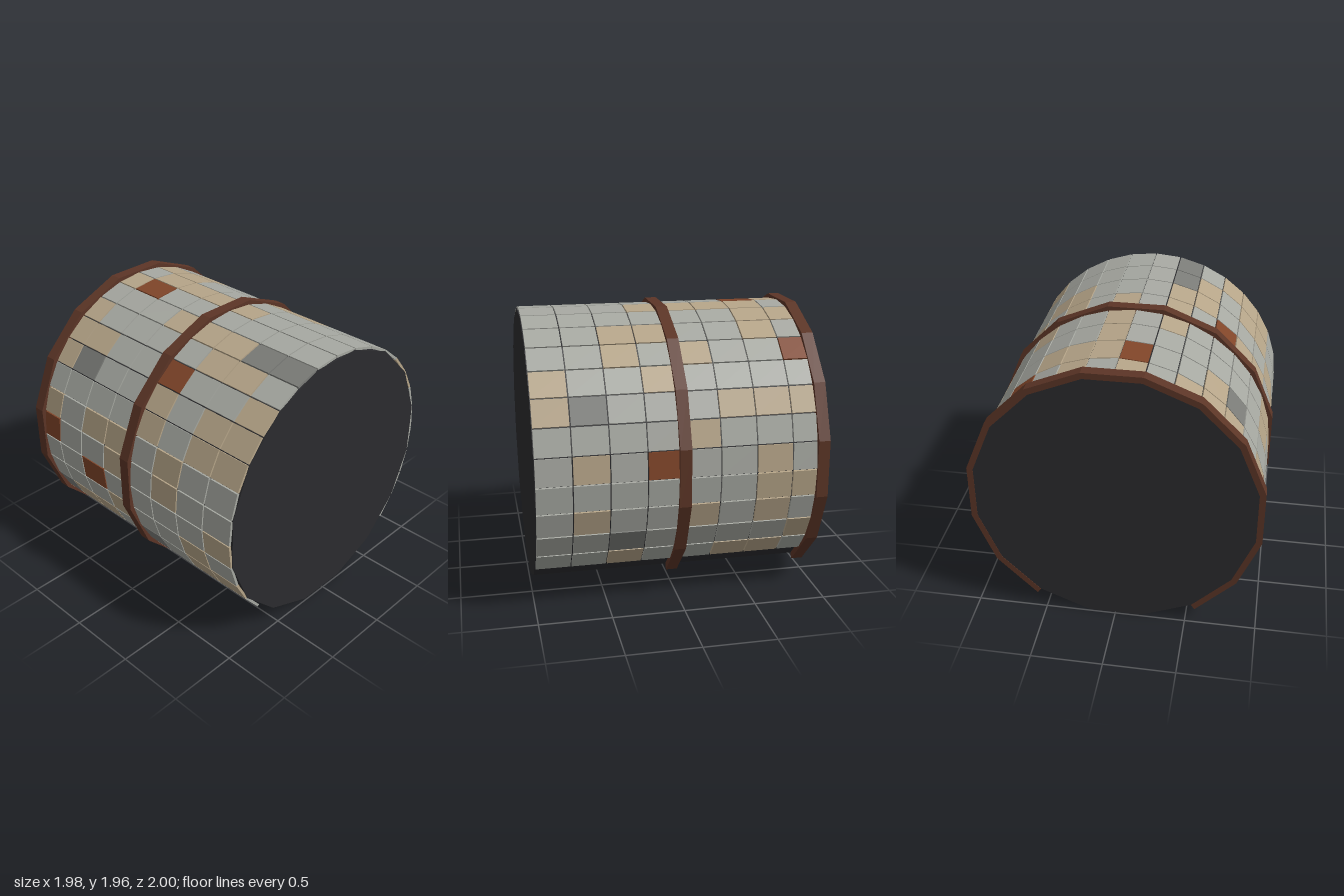
import * as THREE from 'three';

const CENTER_Y = 0.957;
const CORE_R = 0.976;
const LENGTH = 1.976;
const COLS = 8;
const STEP = Math.PI / 16; // angle covered by one row of tiles

const mat = (color) => new THREE.MeshStandardMaterial({ color, flatShading: true });

// Tile pattern from the lower front edge, over the top, to the lower back edge.
// g grey, t tan, d dark grey, r rust
const ROWS = [
  'tdgggdgg', 'dttgdgtt', 'gggtggtg', 'ggrggggt', 'rggtgtgg', 'tgttgtgg',
  'ggggtgtt', 'tdggtgtt', 'ttggrggt', 'tggggttg', 'gggtttdd', 'trgggggg',
  'gttttggg', 'ttgggggg', 'gtggttgg', 'rggtgtgg', 'ggggtggt', 'tttgggdt',
  'gggtgggg', 'gtggrgtg', 'ttgggggg', 'gtgtggtg', 'tggggdgg', 'gttggtgg',
];

// Solid sixteen-sided drum lying along x
function makeCore() {
  const geo = new THREE.CylinderGeometry(CORE_R, CORE_R, LENGTH, 16, 1, false, STEP);
  geo.rotateZ(Math.PI / 2);
  const core = new THREE.Mesh(geo, mat(0x2b2b2e));
  core.name = 'core';
  return core;
}

// Thin slabs wrapped around the drum, open at the bottom
function makeTiles() {
  const tiles = new THREE.Group();
  tiles.name = 'tiles';
  const pitch = LENGTH / COLS;
  const radius = 0.974;
  const geo = new THREE.BoxGeometry(pitch - 0.009, 0.018, 2 * radius * Math.sin(STEP / 2) - 0.007);
  const mats = { g: mat(0xa6a8a1), t: mat(0xb5a488), d: mat(0x7b7c78), r: mat(0x804529) };
  ROWS.forEach((codes, j) => {
    const row = new THREE.Group();
    row.name = 'tileRow';
    const a = -Math.PI / 4 + (j + 0.5) * STEP;
    row.position.set(0, radius * Math.sin(a), radius * Math.cos(a));
    row.rotation.x = Math.PI / 2 - a;
    [...codes].forEach((code, i) => {
      const tile = new THREE.Mesh(geo, mats[code]);
      tile.name = 'tile';
      tile.position.x = (i + 0.5) * pitch - LENGTH / 2;
      row.add(tile);
    });
    tiles.add(row);
  });
  return tiles;
}

// Faceted bands around the drum, stopping short of the underside
function makeRibs() {
  const ribs = new THREE.Group();
  ribs.name = 'ribs';
  const width = 0.08;
  const arc = (r) => Array.from({ length: 14 }, (_, k) => {
    const phi = STEP * (3 + 2 * k);
    return new THREE.Vector2(r * Math.sin(phi), -r * Math.cos(phi));
  });
  const shape = new THREE.Shape([...arc(1.0196), ...arc(CORE_R).reverse()]);
  const geo = new THREE.ExtrudeGeometry(shape, { depth: width, bevelEnabled: false });
  geo.translate(0, 0, -width / 2).rotateY(Math.PI / 2);
  const brown = mat(0x5c3526);
  for (const x of [-0.95, 0]) {
    const rib = new THREE.Mesh(geo, brown);
    rib.name = 'rib';
    rib.position.x = x;
    ribs.add(rib);
  }
  return ribs;
}

export function createModel() {
  const model = new THREE.Group();
  model.name = 'tiledDrum';
  const body = new THREE.Group();
  body.name = 'body';
  body.position.y = CENTER_Y;
  body.add(makeCore(), makeTiles(), makeRibs());
  model.add(body);
  return model;
}
